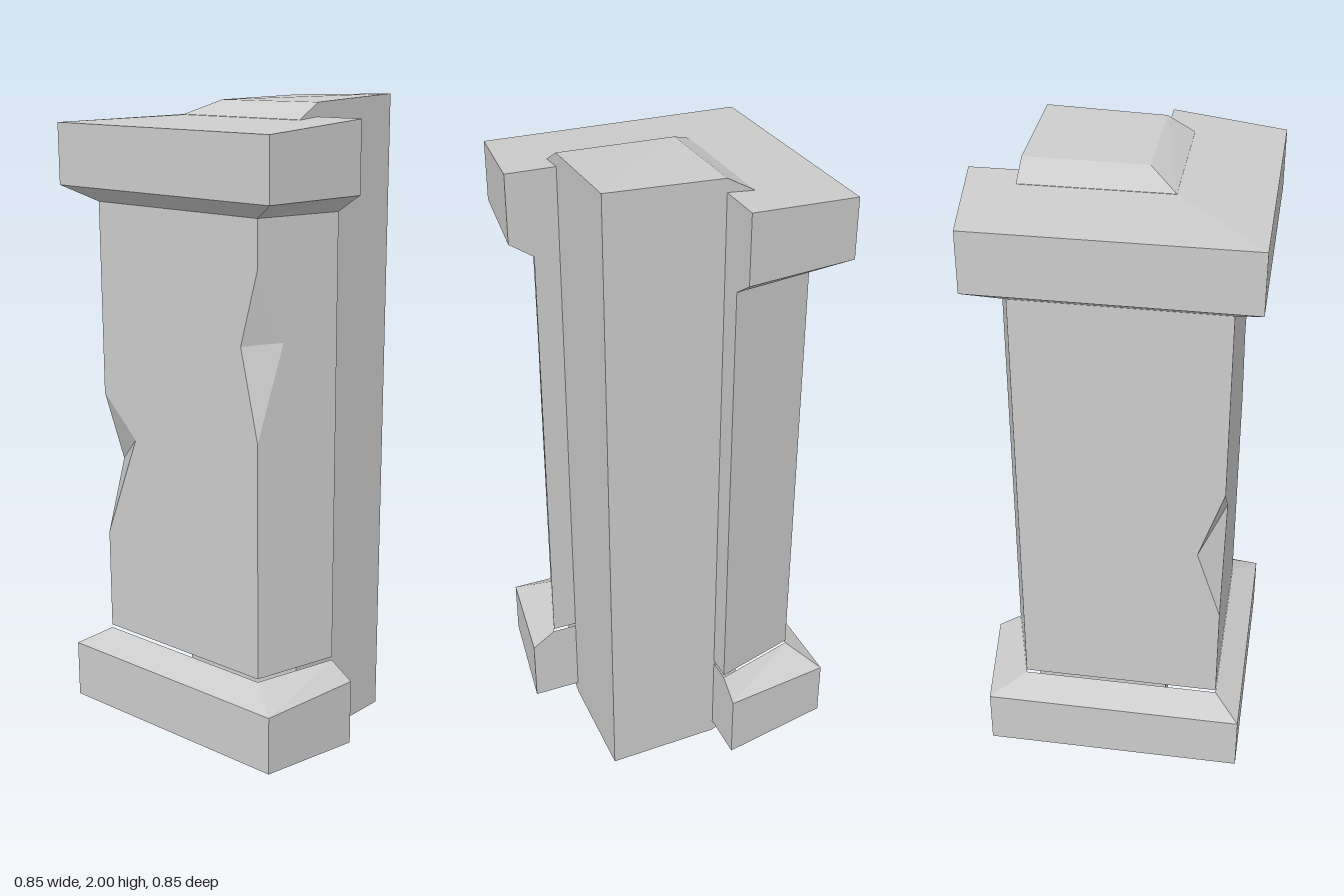
import * as THREE from 'three';

const v = (x, y, z) => new THREE.Vector3(x, y, z);

// Planar (possibly concave) polygon, counter-clockwise from outside, as triangles
function triangulate(pts) {
  const n = v(0, 0, 0);
  pts.forEach((p, i) => n.add(p.clone().cross(pts[(i + 1) % pts.length])));
  n.normalize();
  const u = (Math.abs(n.y) > 0.7 ? v(1, 0, 0) : v(0, 1, 0)).cross(n).normalize();
  const w = n.clone().cross(u);
  const flat = pts.map(p => new THREE.Vector2(p.dot(u), p.dot(w)));
  return THREE.ShapeUtils.triangulateShape(flat, []).flat().map(i => pts[i]);
}

function meshFrom(name, polygons) {
  const geometry = new THREE.BufferGeometry().setFromPoints(polygons.flatMap(triangulate));
  geometry.computeVertexNormals();
  const mesh = new THREE.Mesh(geometry, new THREE.MeshStandardMaterial({ color: 0xcccccc, flatShading: true }));
  mesh.name = name;
  return mesh;
}

// Walls between successive rings; a chip notches the vertical edge at its corner index
function walls(rings, chips = {}) {
  const out = [];
  for (let k = 0; k + 1 < rings.length; k++) {
    const lo = rings[k], hi = rings[k + 1];
    lo.forEach((_, i) => {
      const j = (i + 1) % lo.length, a = chips[i], b = chips[j];
      out.push([
        lo[i], lo[j], ...(b ? [b.bottom, b.before, b.top] : []),
        hi[j], hi[i], ...(a ? [a.top, a.after, a.bottom] : []),
      ]);
    });
  }
  for (const c of Object.values(chips)) {
    out.push([c.top, c.before, c.after], [c.bottom, c.after, c.before]);
  }
  return out;
}

const IN = 0.082; // inner faces of the L
// L-shaped ring: o = outer face, e1/e2 = slanted end at outer/inner side
const lRing = (o, e1, e2, y, yIn = y) => [
  v(-o, y, o), v(e1, y, o), v(e2, yIn, IN), v(-IN, yIn, IN), v(-IN, yIn, -e2), v(-o, y, -e1),
];
const shaftRing = y => lRing(0.345, 0.272, 0.35, y);
const flange = (y, yIn) => lRing(0.425, 0.38, 0.424, y, yIn);
const flip = ring => ring.map(p => v(p.x, 2 - p.y, p.z));
const pick = (ring, ids) => ids.map(i => ring[i]);

export function createModel() {
  const group = new THREE.Group();

  // Shaft with two chipped front edges
  const chips = {
    0: { top: v(-0.345, 1.1, 0.345), bottom: v(-0.345, 0.64, 0.345),
         before: v(-0.345, 0.87, 0.27), after: v(-0.216, 0.97, 0.345) },
    1: { top: v(0.272, 1.55, 0.345), bottom: v(0.272, 1.05, 0.345),
         before: v(0.21, 1.325, 0.345), after: v(0.297, 1.335, 0.26) },
  };
  group.add(meshFrom('shaft', walls([shaftRing(0.32), shaftRing(1.69)], chips)));

  // Cap and its mirrored base, mitred at the outer corner
  const cap = [shaftRing(1.69), flange(1.74), flange(1.922, 1.948)];
  const base = cap.map(flip).reverse();
  const mitre = [[0, 1, 2, 3], [0, 3, 4, 5]];
  const topFaces = ring => mitre.map(ids => pick(ring, ids));
  const bottomFaces = ring => mitre.map(ids => pick(ring, ids).reverse());
  group.add(meshFrom('cap', [...walls(cap), ...topFaces(cap[2])]));
  group.add(meshFrom('base', [...walls(base), ...bottomFaces(base[0])]));

  // Square inner post with bevelled, slightly pitched ends
  const E = 0.273, B = 0.163;
  const rim = [v(-B, 1.943, B), v(E, 1.943, B), v(E, 1.943, -E), v(-B, 1.943, -E)];
  const crown = [v(-IN, 1.985, IN), v(E, 1.988, IN), v(E, 2, -E), v(-IN, 1.988, -E)];
  const post = [flip(crown), flip(rim), rim, crown];
  const halves = [[0, 1, 2], [0, 2, 3]];
  group.add(meshFrom('innerPost', [
    ...walls(post),
    ...halves.map(ids => pick(crown, ids)),
    ...halves.map(ids => pick(post[0], ids).reverse()),
  ]));
  return group;
}
